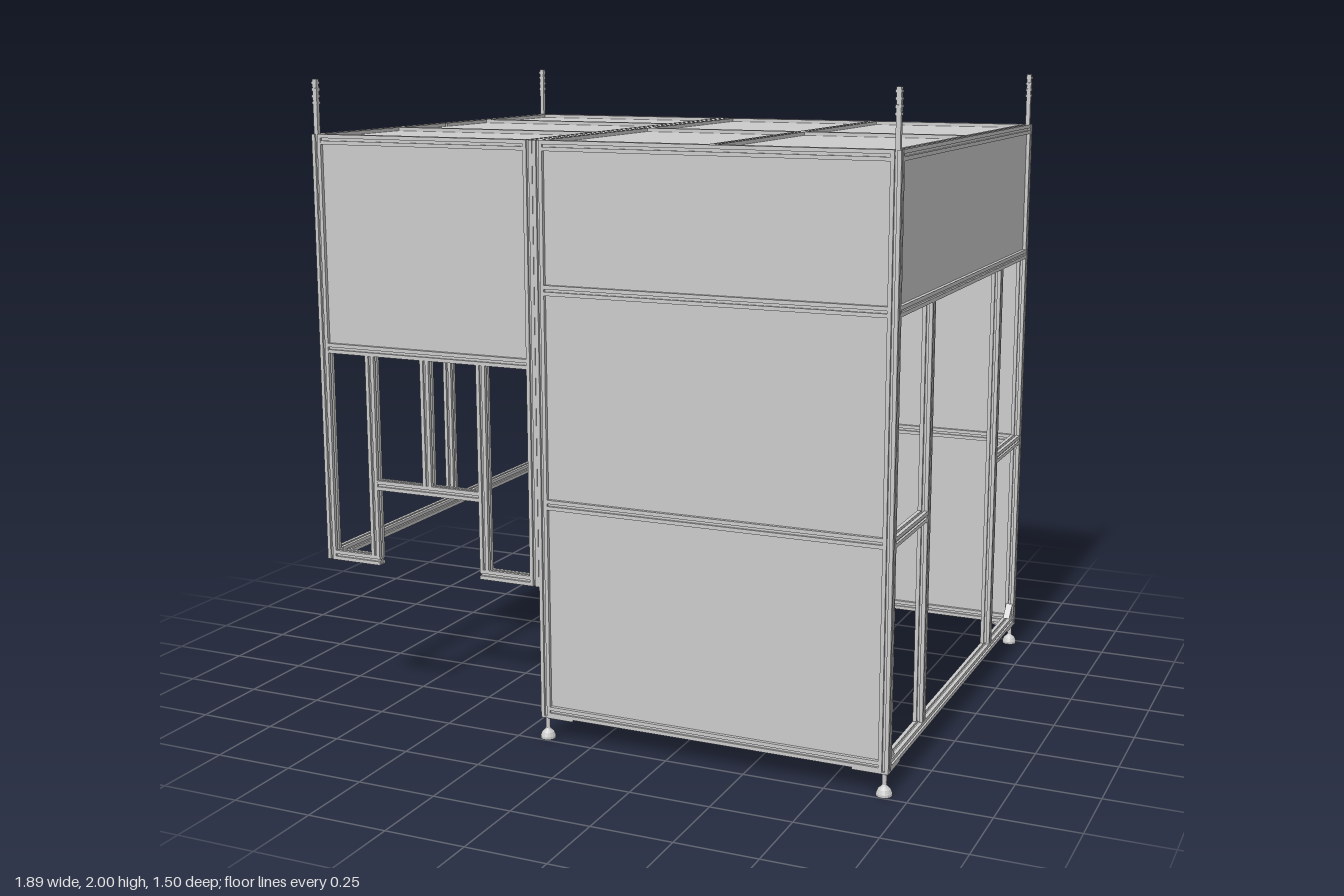
import * as THREE from 'three';

const S = 0.031;                       // width of the slotted frame profile
const XL = -0.925, XA = -0.191, XB = -0.159, XR = 0.925, Z = 0.725;
const BASE = 0.09, SHELF = 0.745, HEAD = 1.395, TOP = 1.818, LEG = 0.5, LOW_HEAD = 1.17;

const grey = new THREE.MeshStandardMaterial({ color: 0xcccccc, flatShading: true, side: THREE.DoubleSide });

// Square profile with one slot in each side
function profileShape() {
  const h = S / 2, w = 0.004, d = 0.007;
  const side = [[-h, -h], [-w, -h], [-w, -h + d], [w, -h + d], [w, -h]];
  const pts = [];
  for (let i = 0; i < 4; i++) {
    for (const [x, y] of side) {
      pts.push(new THREE.Vector2(x, y).rotateAround(new THREE.Vector2(), i * Math.PI / 2));
    }
  }
  const shape = new THREE.Shape(pts);
  const bore = new THREE.Path();
  bore.absarc(0, 0, 0.003, 0, Math.PI * 2, true);
  shape.holes.push(bore);
  return shape;
}
const PROFILE = profileShape();

export function createModel() {
  const model = new THREE.Group();
  model.name = 'machineEnclosure';

  const add = (parent, name, geometry, x = 0, y = 0, z = 0) => {
    const mesh = new THREE.Mesh(geometry, grey);
    mesh.name = name;
    mesh.position.set(x, y, z);
    parent.add(mesh);
    return mesh;
  };

  // Frame bar between two points
  const bar = (parent, name, a, b) => {
    const from = new THREE.Vector3(...a), to = new THREE.Vector3(...b);
    const geometry = new THREE.ExtrudeGeometry(PROFILE, { depth: from.distanceTo(to), bevelEnabled: false, curveSegments: 4 });
    const mesh = add(parent, name, geometry, ...a);
    mesh.lookAt(to);
    return mesh;
  };
  const post = (p, name, x, z, y0, y1) => bar(p, name, [x, y0, z], [x, y1, z]);
  const railX = (p, name, x0, x1, y, z) => bar(p, name, [x0 + S / 2, y, z], [x1 - S / 2, y, z]);
  const railZ = (p, name, x, y, z0, z1) => bar(p, name, [x, y, z0 + S / 2], [x, y, z1 - S / 2]);

  // Thin sheet filling the space between bar centre lines
  const T = 0.008, IN = 0.022;
  const panelXY = (p, name, x0, x1, y0, y1, z) =>
    add(p, name, new THREE.BoxGeometry(x1 - x0 - IN, y1 - y0 - IN, T), (x0 + x1) / 2, (y0 + y1) / 2, z);
  const panelZY = (p, name, x, y0, y1, z0, z1) =>
    add(p, name, new THREE.BoxGeometry(T, y1 - y0 - IN, z1 - z0 - IN), x, (y0 + y1) / 2, (z0 + z1) / 2);
  const panelXZ = (p, name, x0, x1, z0, z1) =>
    add(p, name, new THREE.BoxGeometry(x1 - x0 - IN, T, z1 - z0 - IN), (x0 + x1) / 2, TOP, (z0 + z1) / 2);

  const main = new THREE.Group();
  main.name = 'mainBay';
  const side = new THREE.Group();
  side.name = 'sideBay';
  model.add(main, side);

  // Front and back walls of both bays
  for (const z of [-Z, Z]) {
    for (const x of [XB, XR]) post(main, 'cornerPost', x, z, BASE - S / 2, TOP + S / 2);
    const levels = [BASE, SHELF, HEAD, TOP];
    levels.forEach((y, i) => {
      railX(main, 'wallRail', XB, XR, y, z);
      if (i) panelXY(main, 'wallPanel', XB, XR, levels[i - 1], y, z);
    });

    for (const x of [XL, XA]) post(side, 'cornerPost', x, z, LEG - S / 2, TOP + S / 2);
    for (const y of [LOW_HEAD, TOP]) railX(side, 'wallRail', XL, XA, y, z);
    panelXY(side, 'wallPanel', XL, XA, LOW_HEAD, TOP, z);
    const a = -0.76, b = -0.365;
    for (const x of [a, b]) post(side, 'openingPost', x, z, LEG + S / 2, LOW_HEAD - S / 2);
    railX(side, 'footRail', XL, a + S, LEG, z);
    railX(side, 'footRail', b - S, XA, LEG, z);
    railX(side, 'openingRail', a, b, SHELF, z);
    post(side, 'centrePost', (a + b) / 2, z, SHELF + S / 2, LOW_HEAD - S / 2);
  }

  // Right wall: panel over an open doorway
  for (const y of [BASE, HEAD, TOP]) railZ(main, 'sideRail', XR, y, -Z, Z);
  panelZY(main, 'headerPanel', XR, HEAD, TOP, -Z, Z);
  for (const s of [-1, 1]) {
    post(main, 'doorPost', XR, s * 0.39, BASE + S / 2, HEAD - S / 2);
    railZ(main, 'doorSideRail', XR, SHELF, s > 0 ? 0.39 : -Z, s > 0 ? Z : -0.39);
  }

  // Open joint between the bays
  railZ(main, 'jointBaseRail', XB, BASE, -Z, Z);
  railZ(main, 'jointTopRail', XB, TOP, -Z, Z);
  railZ(side, 'jointTopRail', XA, TOP, -Z, Z);

  // Far wall of the side bay
  post(side, 'middlePost', XL, 0, LEG + S / 2, TOP + S / 2);
  railZ(side, 'footRail', XL, LEG, -Z, Z);
  for (const [z0, z1] of [[-Z, 0], [0, Z]]) {
    railZ(side, 'headerRail', XL, LOW_HEAD, z0, z1);
    railZ(side, 'topRail', XL, TOP, z0, z1);
    panelZY(side, 'headerPanel', XL, LOW_HEAD, TOP, z0, z1);
  }

  // Roofs
  const mid = 0.383;
  railX(main, 'roofCrossBar', XB, XR, TOP, 0);
  for (const [z0, z1] of [[-Z, 0], [0, Z]]) {
    railZ(main, 'roofBar', mid, TOP, z0, z1);
    panelXZ(main, 'roofPanel', XB, mid, z0, z1);
    panelXZ(main, 'roofPanel', mid, XR, z0, z1);
  }
  const splits = [-Z, -0.287, 0.282, Z];
  for (let i = 0; i < 3; i++) {
    if (i) railX(side, 'roofBar', XL, XA, TOP, splits[i]);
    panelXZ(side, 'roofPanel', XL, XA, splits[i], splits[i + 1]);
  }

  // Uprights with bolt heads on the outer roof corners
  for (const x of [XL, XR]) for (const z of [-Z, Z]) {
    const mast = new THREE.Group();
    mast.name = 'cornerMast';
    mast.position.set(x + Math.sign(x) * 0.003, TOP, z + Math.sign(z) * 0.003);
    add(mast, 'mastRod', new THREE.BoxGeometry(0.014, 0.182, 0.014), 0, 0.091, 0);
    for (const y of [0.11, 0.13, 0.15, 0.17]) {
      add(mast, 'mastBolt', new THREE.BoxGeometry(0.018, 0.008, 0.018), 0, y, 0);
    }
    model.add(mast);
  }

  // Levelling feet, corner plates and gussets
  const footProfile = [[0, 0], [0.024, 0], [0.024, 0.008], [0.019, 0.02], [0.009, 0.029], [0.007, 0.033],
    [0.007, 0.075], [0, 0.075]].map(p => new THREE.Vector2(...p));
  const triangle = r => new THREE.Shape([new THREE.Vector2(0, 0), new THREE.Vector2(r, 0), new THREE.Vector2(0, r)]);
  for (const x of [XB, XR]) for (const z of [-Z, Z]) {
    const sx = x === XB ? 1 : -1, sz = -Math.sign(z);
    add(main, 'levellingFoot', new THREE.LatheGeometry(footProfile, 16), x, 0, z);
    const plate = add(main, 'cornerPlate',
      new THREE.ExtrudeGeometry(triangle(0.11), { depth: 0.006, bevelEnabled: false }),
      x - sx * S / 2, BASE - S / 2, z - sz * S / 2);
    plate.rotation.x = Math.PI / 2;
    plate.scale.set(sx, sz, 1);
    const gusset = add(main, 'cornerGusset',
      new THREE.ExtrudeGeometry(triangle(0.042), { depth: 0.022, bevelEnabled: false }),
      x - 0.011, BASE + S / 2, z + sz * S / 2);
    gusset.rotation.y = sz > 0 ? -Math.PI / 2 : Math.PI / 2;
    if (sz > 0) gusset.position.x += 0.022;
  }

  return model;
}
